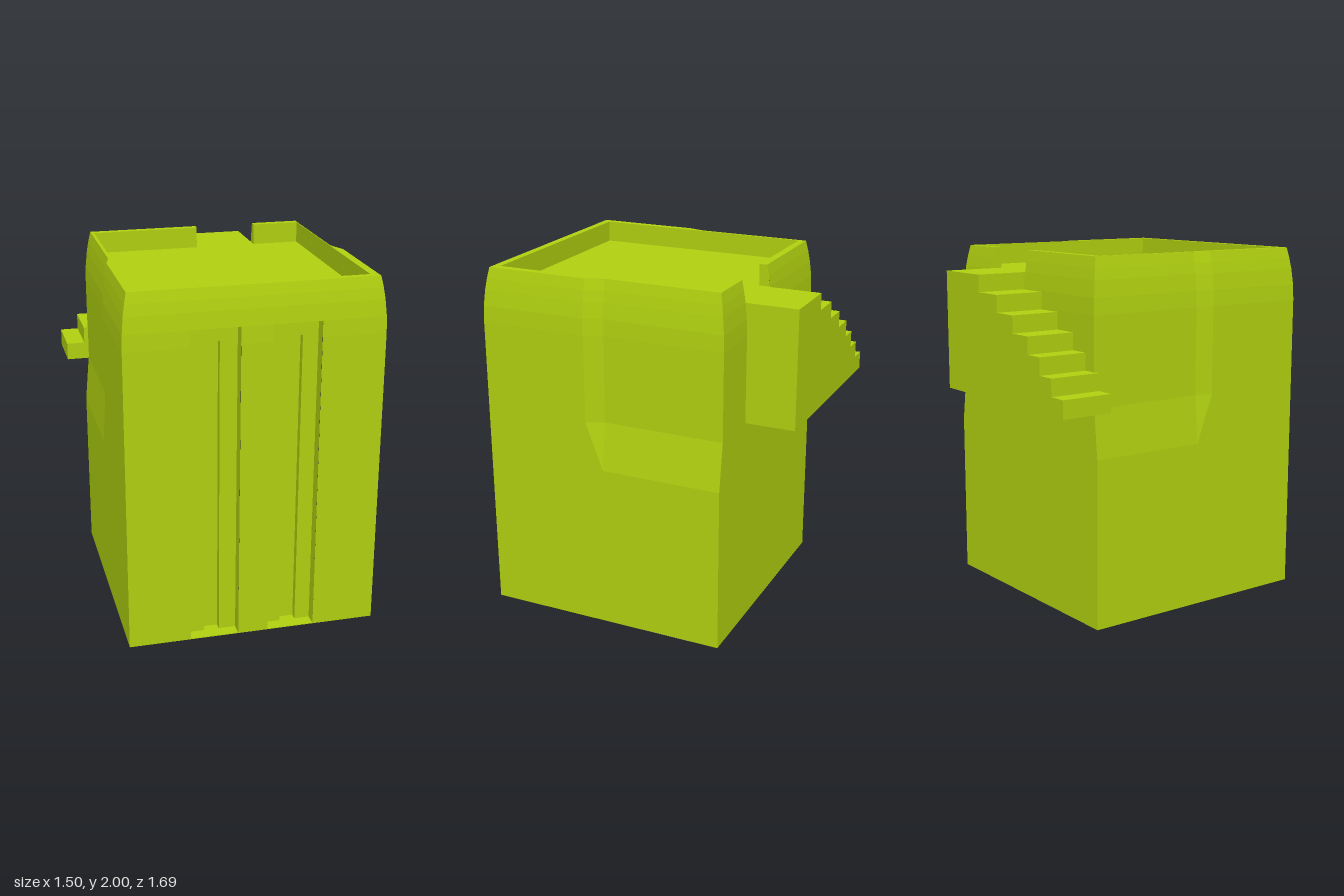
import * as THREE from 'three';

const V = (x, y, z) => new THREE.Vector3(x, y, z);
const FRONT = V(0, 0, 1), BACK = V(0, 0, -1), LEFT = V(1, 0, 0), RIGHT = V(-1, 0, 0), UP = V(0, 1, 0), DOWN = V(0, -1, 0);

// Collects flat quads; each is turned to face the given direction.
class Quads {
  constructor() { this.p = []; }
  add(dir, a, b, c, d) {
    const n = c.clone().sub(a).cross(d.clone().sub(b));
    const q = n.dot(dir) < 0 ? [d, c, b, a] : [a, b, c, d];
    for (const i of [0, 1, 2, 0, 2, 3]) this.p.push(...q[i].toArray());
  }
  geometry() {
    const g = new THREE.BufferGeometry();
    g.setAttribute('position', new THREE.Float32BufferAttribute(this.p, 3));
    g.computeVertexNormals();
    return g;
  }
}

const FLOOR = 1.88, GROOVE_TOP = 1.79, GAP = [0.045, 0.4];
const PIT = { x0: -0.575, x1: 0.672, z0: -0.485, z1: 0.77 };
const GROOVES = [[-0.305, -0.215, -0.13, -0.035], [0.135, 0.225, 0.315, 0.4]];

// Horizontal section: the top curves inward, the rear of both sides steps inward.
function section(y) {
  const i = 0.033 * Math.max(0, (y - 1.7) / 0.3) ** 2;
  const k = THREE.MathUtils.clamp((y - 0.94) / 0.27, 0, 1);
  const z = [0.845 - i, 0.13 + 0.1 * k, 0.13, -0.56 + i];
  const side = (s, out, step) => z.map((zz, n) => V(out - s * (i + (n > 1 ? step * k : 0)), y, zz));
  return { left: side(1, 0.75, 0.04), right: side(-1, -0.65, 0.025) };
}

function walls() {
  const q = new Quads();
  const levels = [0, 0.94, 1.21, 1.7, GROOVE_TOP, FLOOR, 1.94, 2];
  for (let n = 0; n < levels.length - 1; n++) {
    const a = section(levels[n]), b = section(levels[n + 1]);
    for (let s = 0; s < 3; s++) {
      q.add(LEFT, a.left[s], a.left[s + 1], b.left[s + 1], b.left[s]);
      q.add(RIGHT, a.right[s], a.right[s + 1], b.right[s + 1], b.right[s]);
    }
    // front and back are split into columns around their openings
    const columns = (dir, s, cuts) => {
      const at = (c, x) => V(x, c.left[s].y, c.left[s].z);
      const lo = [a.right[s], ...cuts.map(x => at(a, x)), a.left[s]];
      const hi = [b.right[s], ...cuts.map(x => at(b, x)), b.left[s]];
      for (let c = 0; c < lo.length; c += 2) q.add(dir, lo[c], lo[c + 1], hi[c + 1], hi[c]);
    };
    columns(FRONT, 0, levels[n] < GROOVE_TOP ? GROOVES.flatMap(g => [g[0], g[3]]) : []);
    columns(BACK, 3, levels[n] >= FLOOR ? GAP : []);
  }
  const base = section(0);
  q.add(DOWN, base.left[0], base.left[3], base.right[3], base.right[0]);
  return q.geometry();
}

// Two-stage recess running up the front
function groove([x0, x1, x2, x3]) {
  const q = new Quads(), y0 = 0.004, top = 1.7, z0 = 0.845, z1 = 0.775, z2 = 0.735;
  const recess = (l, r, yt, zf, zb, zTop) => {
    for (const [x, dir] of [[l, LEFT], [r, RIGHT]]) {
      q.add(dir, V(x, y0, zf), V(x, y0, zb), V(x, yt, zb), V(x, yt, zTop));
    }
    q.add(DOWN, V(l, yt, zTop), V(r, yt, zTop), V(r, yt, zb), V(l, yt, zb));
    q.add(UP, V(l, y0, zf), V(r, y0, zf), V(r, y0, zb), V(l, y0, zb));
  };
  const panel = (l, r, b, t, z) => q.add(FRONT, V(l, b, z), V(r, b, z), V(r, t, z), V(l, t, z));
  recess(x0, x3, GROOVE_TOP, z0, z1, section(GROOVE_TOP).left[0].z);
  recess(x1, x2, top, z1, z2, z1);
  panel(x0, x3, 0, y0, z0);
  panel(x0, x1, y0, GROOVE_TOP, z1);
  panel(x2, x3, y0, GROOVE_TOP, z1);
  panel(x1, x2, top, GROOVE_TOP, z1);
  panel(x1, x2, y0, top, z2);
  return q.geometry();
}

// Flat top of the parapet, open at the stair landing
function rim() {
  const { left, right } = section(2), zb = left[3].z, { x0, x1, z0, z1 } = PIT;
  const outline = [
    [GAP[1], zb], ...[...left].reverse().map(p => [p.x, p.z]), ...right.map(p => [p.x, p.z]), [GAP[0], zb],
    [GAP[0], z0], [x0, z0], [x0, z1], [x1, z1], [x1, z0], [GAP[1], z0],
  ];
  const g = new THREE.ShapeGeometry(new THREE.Shape(outline.map(([x, z]) => new THREE.Vector2(x, -z))));
  return g.rotateX(-Math.PI / 2).translate(0, 2, 0);
}

// Sunken roof floor with the inner faces of the parapet
function roof() {
  const q = new Quads(), { x0, x1, z0, z1 } = PIT, [g0, g1] = GAP;
  const zLow = section(FLOOR).left[3].z, zHigh = section(2).left[3].z;
  const floor = (a, b, c, d) => q.add(UP, V(a, FLOOR, c), V(b, FLOOR, c), V(b, FLOOR, d), V(a, FLOOR, d));
  const wall = (dir, a, c, b, d) => q.add(dir, V(a, FLOOR, c), V(b, FLOOR, d), V(b, 2, d), V(a, 2, c));
  floor(x0, x1, z0, z1);
  floor(g0, g1, zLow, z0);
  wall(LEFT, x0, z0, x0, z1);
  wall(RIGHT, x1, z0, x1, z1);
  wall(BACK, x0, z1, x1, z1);
  wall(FRONT, x0, z0, g0, z0);
  wall(FRONT, g1, z0, x1, z0);
  for (const [x, dir] of [[g0, LEFT], [g1, RIGHT]]) {
    q.add(dir, V(x, FLOOR, z0), V(x, FLOOR, zLow), V(x, 2, zHigh), V(x, 2, z0));
  }
  return q.geometry();
}

// Solid flight of steps climbing along the back to the landing
function stairs() {
  const edges = [-0.755, -0.65, -0.545, -0.435, -0.29, -0.135, 0.05, 0.4], bottom = 1.21;
  const s = new THREE.Shape();
  s.moveTo(edges[0], bottom);
  for (let n = 0; n < 7; n++) {
    const y = 1.31 + n * (FLOOR - 1.31) / 6;
    s.lineTo(edges[n], y);
    s.lineTo(edges[n + 1], y);
  }
  s.lineTo(0.4, bottom);
  s.closePath();
  return new THREE.ExtrudeGeometry(s, { depth: 0.298, bevelEnabled: false }).translate(0, 0, -0.845);
}

export function createModel() {
  const group = new THREE.Group();
  group.name = 'tower';
  const material = new THREE.MeshStandardMaterial({ color: 0xb0d010 });
  const add = (name, geometry) => {
    const mesh = new THREE.Mesh(geometry, material);
    mesh.name = name;
    group.add(mesh);
  };
  add('walls', walls());
  GROOVES.forEach((g, n) => add(['rightGroove', 'leftGroove'][n], groove(g)));
  add('parapetRim', rim());
  add('roof', roof());
  add('stairs', stairs());
  return group;
}
